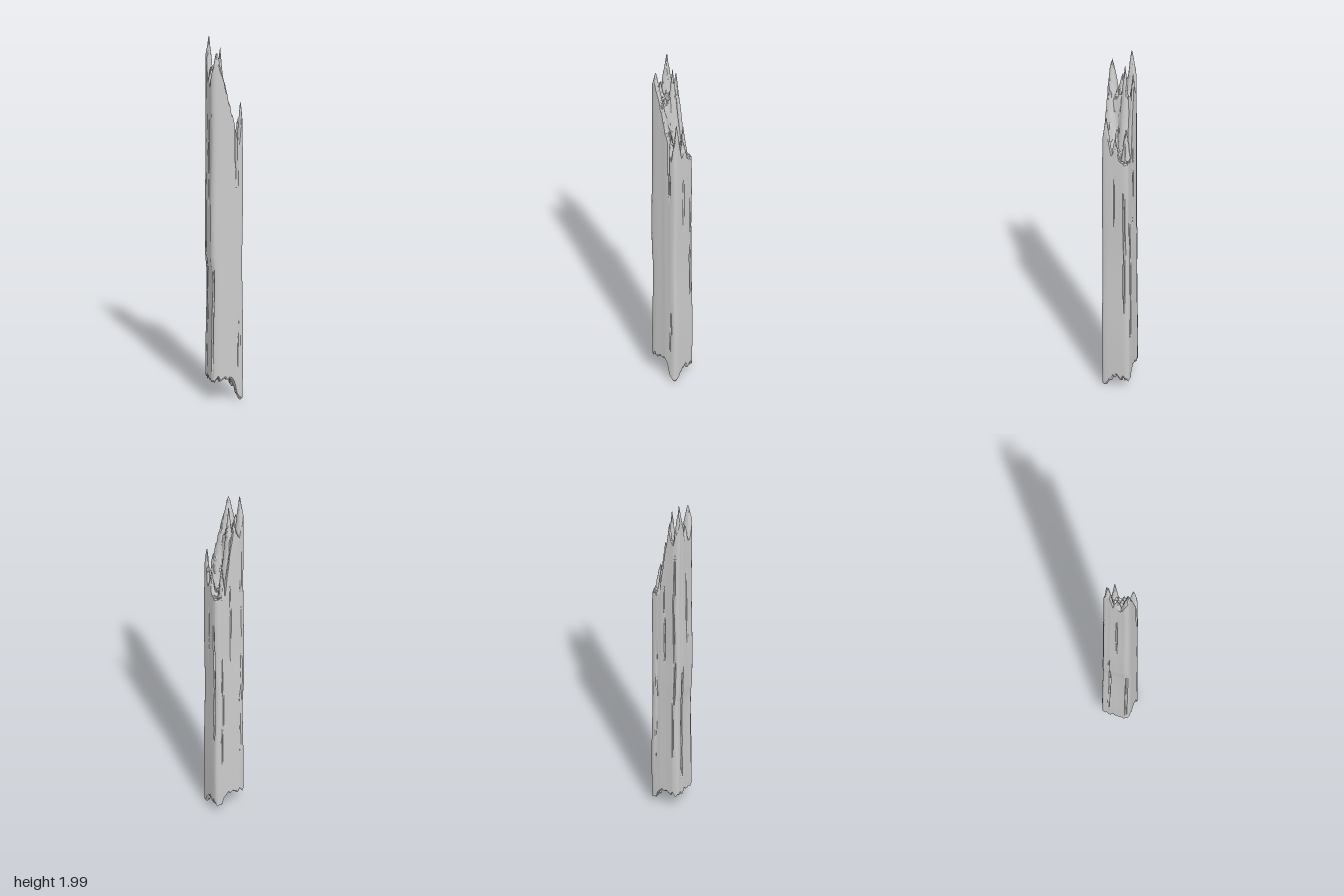
import * as THREE from 'three';
import { toCreasedNormals, mergeVertices } from 'three/addons/utils/BufferGeometryUtils.js';

const AROUND = 144;
const smooth = THREE.MathUtils.smoothstep;
const lerp = THREE.MathUtils.lerp;

// Small repeatable value noise
const hash = (i, k) => {
  const s = Math.sin(i * 127.1 + k * 311.7) * 43758.5453;
  return s - Math.floor(s);
};
const noise = (x, k) => {
  const i = Math.floor(x);
  return lerp(hash(i, k), hash(i + 1, k), smooth(x - i, 0, 1)) - 0.5;
};

// Splinters at the top: x, z, tip height, half widths in x and z, length
const splinters = [
  [-0.074, -0.045, 2.0, 0.028, 0.04, 0.27],
  [-0.06, 0.064, 1.925, 0.045, 0.034, 0.2],
  [-0.072, 0.01, 1.84, 0.03, 0.035, 0.16],
  [-0.018, -0.025, 1.93, 0.026, 0.03, 0.3],
  [-0.03, -0.07, 1.88, 0.03, 0.025, 0.25],
  [0.072, 0.05, 1.65, 0.024, 0.034, 0.25],
  [0.034, -0.05, 1.57, 0.018, 0.03, 0.2],
  [0.012, 0.045, 1.55, 0.025, 0.05, 0.14],
  [0.07, 0.0, 1.52, 0.025, 0.028, 0.14],
];

function topHeight(x, z) {
  const low = lerp(1.37, 1.42, smooth(z, -0.04, 0.02)) - 0.05 * Math.exp(-(((x - 0.045) / 0.012) ** 2)) * smooth(z, -0.02, 0.05);
  const high = 1.74 - 0.06 * smooth(z, 0, 0.06) * smooth(x, -0.05, 0);
  let y = lerp(high, low, smooth(x, -0.02, 0.012));
  for (const [px, pz, tip, wx, wz, len] of splinters) {
    const d = Math.hypot((x - px) / wx, (z - pz) / wz);
    y = Math.max(y, tip - len * d);
  }
  return Math.min(2, y + 0.035 * noise(x * 130 + 40, Math.floor(z * 60)) * (y < 1.9 ? 1 : 0));
}

function bottomHeight(x, z) {
  const base = lerp(0.12, 0.065, smooth(x, 0.0, 0.06));
  const spike = 0.075 * Math.max(0, 1 - Math.hypot((x - 0.067) / 0.045, (z - 0.058) / 0.05));
  const rough = 0.03 * noise(x * 110 + 30, 5) + 0.03 * noise(z * 110 + 30, 9);
  return Math.max(0, base - spike + rough * (spike > 0.03 ? 0.3 : 1));
}

// Long cracks along the grain: angle, bottom, top, depth, half width
const cracks = [
  [1.08, 1.12, 1.62, 0.022, 0.05],
  [0.98, 0.12, 0.5, 0.008, 0.05],
  [2.45, 0.1, 0.78, 0.012, 0.06],
  [-0.62, 0.4, 1.25, 0.012, 0.05],
  [-1.05, 0.2, 1.1, 0.008, 0.04],
  [-2.2, 0.3, 1.75, 0.009, 0.04],
  [-2.75, 0.15, 1.0, 0.011, 0.05],
  [0.1, 0.9, 1.35, 0.006, 0.07],
  [3.0, 1.0, 1.6, 0.006, 0.05],
  [-1.6, 0.9, 1.5, 0.007, 0.04],
];

// Rounded-square outline, at unit angle a
function outline(a) {
  const c = Math.cos(a), s = Math.sin(a);
  const r = (Math.abs(c) ** 7 + Math.abs(s) ** 7) ** (-1 / 7);
  return [r * c * 0.084 - 0.002, r * s * 0.077];
}

// Weathered outline at height y
function weathered(a, y) {
  let [x, z] = outline(a);
  let cut = 0.003 * noise((a + 4) * 9 + 0.15 * Math.sin(y * 5), 3) * Math.abs(Math.sin(a / 2));
  for (const [ca, y0, y1, depth, width] of cracks) {
    const wander = ca + 0.025 * Math.sin(y * 9 + ca * 7);
    const across = Math.max(0, 1 - Math.abs(a - wander) / width);
    cut += depth * across * smooth(y, y0, y0 + 0.15) * (1 - smooth(y, y1 - 0.15, y1));
  }
  const r = Math.hypot(x, z);
  x *= 1 - cut / r;
  z *= 1 - cut / r;
  // Slow bulges of each side and a step in the -x edge
  if (x < 0) x *= 1 + 0.06 * smooth(y, 0.7, 0.78) * (1 - 0.6 * smooth(y, 1.3, 1.8)) + 0.03 * Math.sin(y * 8);
  else x *= 1 + 0.035 * Math.cos((y - 0.3) * 7);
  if (z < 0) z *= 1 - 0.07 * smooth(y, 0.8, 1.0) + 0.02 * Math.sin(y * 6);
  return [x, z];
}

// Skin of closed rings, point(angle, row fraction) -> [x, y, z]
function skin(name, rows, point, crease, material) {
  const pos = [], index = [];
  for (let j = 0; j <= rows; j++)
    for (let i = 0; i < AROUND; i++)
      pos.push(...point(-Math.PI + (i / AROUND) * Math.PI * 2, j / rows));
  for (let j = 0; j < rows; j++)
    for (let i = 0; i < AROUND; i++) {
      const a = j * AROUND + i, b = j * AROUND + ((i + 1) % AROUND);
      index.push(a, a + AROUND, b, b, a + AROUND, b + AROUND);
    }
  let geo = new THREE.BufferGeometry();
  geo.setAttribute('position', new THREE.Float32BufferAttribute(pos, 3));
  geo.setIndex(index);
  geo = toCreasedNormals(mergeVertices(geo, 1e-6), crease);
  const mesh = new THREE.Mesh(geo, material);
  mesh.name = name;
  return mesh;
}

export function createModel() {
  const group = new THREE.Group();
  group.name = 'splinteredPost';
  const wood = new THREE.MeshStandardMaterial({ color: 0xcccccc, side: THREE.DoubleSide });

  // Broken end, t = 1 at the rim and 0 in the middle
  const end = (height) => (a, t) => {
    const [ox, oz] = outline(a);
    const x = ox * t, z = oz * t;
    const y = height(x, z);
    const [wx, wz] = weathered(a, y);
    return [wx * t, y, wz * t];
  };
  const top = end(topHeight), bottom = end(bottomHeight);

  // Four-sided shaft between the two broken ends
  const shaft = (a, v) => {
    const y = lerp(bottom(a, 1)[1], top(a, 1)[1], v);
    const [x, z] = weathered(a, y);
    return [x, y, z];
  };

  group.add(skin('shaft', 90, shaft, 0.6, wood));
  group.add(skin('splinteredTop', 28, (a, v) => top(a, 1 - v), 0.7, wood));
  group.add(skin('splinteredBottom', 14, (a, v) => bottom(a, v), 0.7, wood));
  return group;
}
